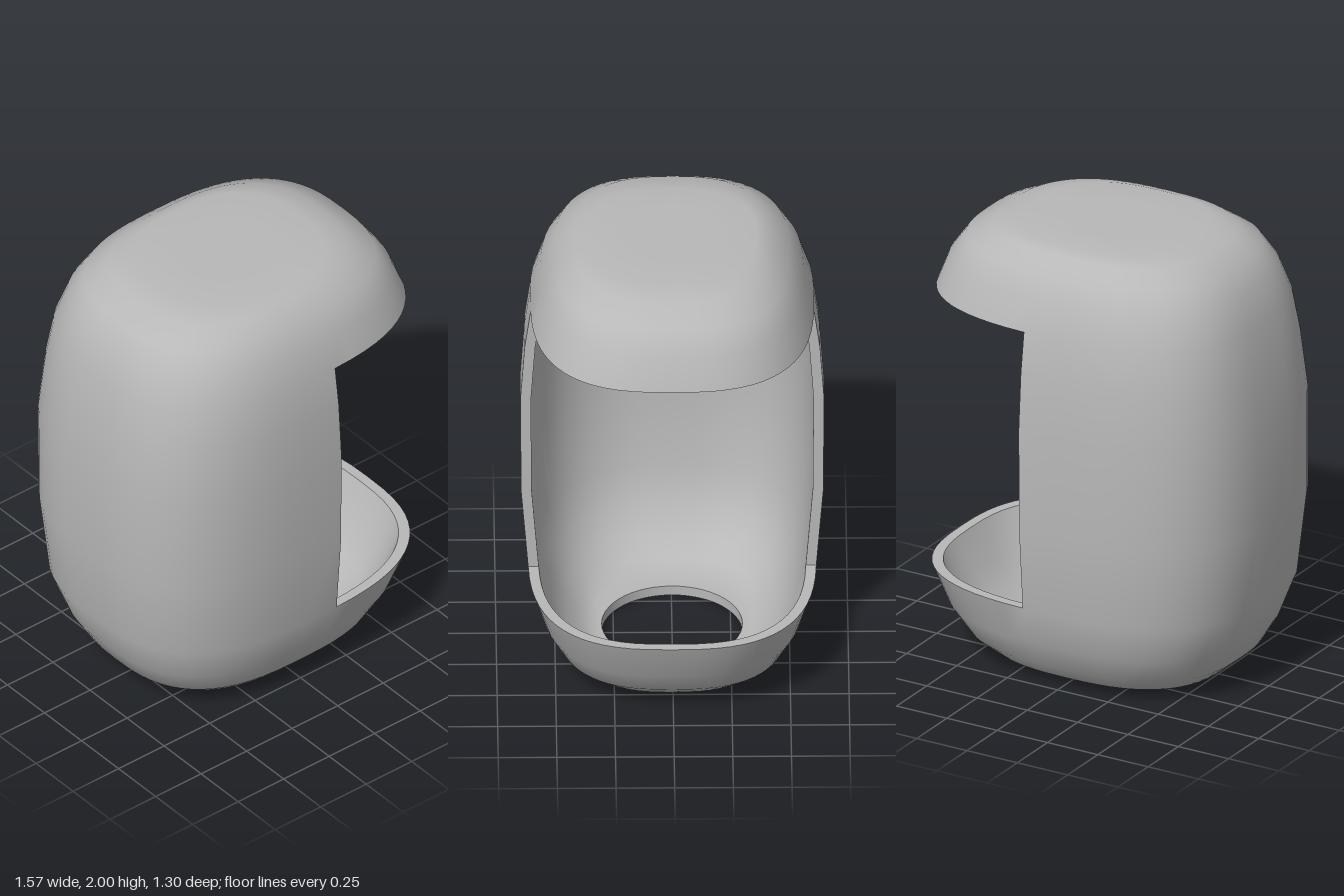
import * as THREE from 'three';
import { mergeVertices } from 'three/addons/utils/BufferGeometryUtils.js';

const CUT_X = 0.105, LOW = 0.4, HIGH = 1.68, WALL = 0.045, STEPS = 32;

// Horizontal sections: height, reach to -x, reach to +x, half depth, squareness
const OUTER = [
  [0, 0.3, 0.3, 0.3, 2],            // edge of the round bottom hole
  [0, 0.4, 0.43, 0.34, 2.5],
  [0.03, 0.53, 0.53, 0.43, 2.6],
  [0.1, 0.61, 0.62, 0.5, 2.7],
  [0.22, 0.68, 0.71, 0.56, 2.7],
  [LOW, 0.745, 0.78, 0.615, 2.75],
  [0.78, 0.785, 0.82, 0.645, 2.8],
  [1.24, 0.785, 0.82, 0.648, 2.8],
  [1.5, 0.75, 0.79, 0.63, 2.8],
  [HIGH, 0.72, 0.76, 0.605, 2.75],
  [1.82, 0.67, 0.71, 0.56, 2.7],
  [1.92, 0.6, 0.64, 0.5, 2.7],
  [1.98, 0.5, 0.52, 0.42, 2.6],
  [2, 0.37, 0.41, 0.36, 2.6],
  [2, 0.2, 0.2, 0.18, 2.4],
  [2, 0, 0, 0, 2],
];

// Inner sections sit one wall thickness inside; the window edges keep their height
const INNER = OUTER.map(([y, xn, xp, z, n]) => {
  const t = y === 0 || y === 2 ? 0 : WALL;
  let iy = y;
  if (y < LOW) iy = y + WALL * (1 - y / LOW);
  if (y > HIGH) iy = y - WALL * (y - HIGH) / (2 - HIGH);
  return [iy, xn - t, xp - t, z - t, n];
});

const spow = (v, e) => Math.sign(v) * Math.pow(Math.abs(v), e);

// Superellipse arc of a section, on the window side (x > CUT_X) or the wall side
function arc([y, xn, xp, z, n], windowSide) {
  const tc = Math.acos(Math.min(0.7, Math.pow(CUT_X / (xp || 1), n / 2)));
  const from = windowSide ? -tc : tc;
  const to = windowSide ? tc : 2 * Math.PI - tc;
  const points = [];
  for (let i = 0; i <= STEPS; i++) {
    const t = from + (to - from) * i / STEPS;
    const c = Math.cos(t);
    points.push(new THREE.Vector3(
      spow(c, 2 / n) * (c > 0 ? xp : xn), y, spow(Math.sin(t), 2 / n) * z));
  }
  return points;
}

// Joins patches (lists of point rows) into one surface
function surface(patches, flip = false) {
  const pos = [], index = [];
  for (const rows of patches) {
    const base = pos.length / 3, w = rows[0].length;
    rows.forEach(row => row.forEach(p => pos.push(p.x, p.y, p.z)));
    for (let i = 0; i < rows.length - 1; i++) {
      for (let j = 0; j < w - 1; j++) {
        const a = base + i * w + j, b = a + 1, c = a + w, d = c + 1;
        if (flip) index.push(a, b, c, b, d, c);
        else index.push(a, c, b, b, c, d);
      }
    }
  }
  let g = new THREE.BufferGeometry();
  g.setAttribute('position', new THREE.Float32BufferAttribute(pos, 3));
  g.setIndex(index);
  g = mergeVertices(g, 1e-5);
  g.computeVertexNormals();
  return g;
}

// A skin is the closed wall side plus the window side below and above the opening
const lowRow = OUTER.findIndex(r => r[0] === LOW);
const highRow = OUTER.findIndex(r => r[0] === HIGH);
const skin = s => [
  s.map(r => arc(r, false)),
  s.slice(0, lowRow + 1).map(r => arc(r, true)),
  s.slice(highRow).map(r => arc(r, true)),
];

export function createModel() {
  const grey = new THREE.MeshStandardMaterial({ color: 0xb8b8b8 });
  grey.name = 'grey';
  const group = new THREE.Group();
  group.name = 'hollowShell';
  const add = (name, geometry) => {
    const mesh = new THREE.Mesh(geometry, grey);
    mesh.name = name;
    group.add(mesh);
  };

  add('outerSkin', surface(skin(OUTER)));
  add('innerSkin', surface(skin(INNER), true));

  // Horizontal rims of the window
  const rim = i => [[arc(INNER[i], true), arc(OUTER[i], true)]];
  add('lowerWindowRim', surface(rim(lowRow), true));
  add('upperWindowRim', surface(rim(highRow)));

  // Vertical rims of the window, front and back
  for (const [name, front] of [['frontWindowRim', true], ['backWindowRim', false]]) {
    const rows = [];
    for (let i = lowRow; i <= highRow; i++) {
      const k = front ? 0 : STEPS;
      const pair = [arc(INNER[i], false)[k], arc(OUTER[i], false)[k]];
      rows.push(front ? pair : pair.reverse());
    }
    add(name, surface([rows]));
  }

  // Wall of the bottom hole
  add('bottomHoleWall', surface(
    [true, false].map(side => [arc(OUTER[0], side), arc(INNER[0], side)]), true));

  return group;
}
